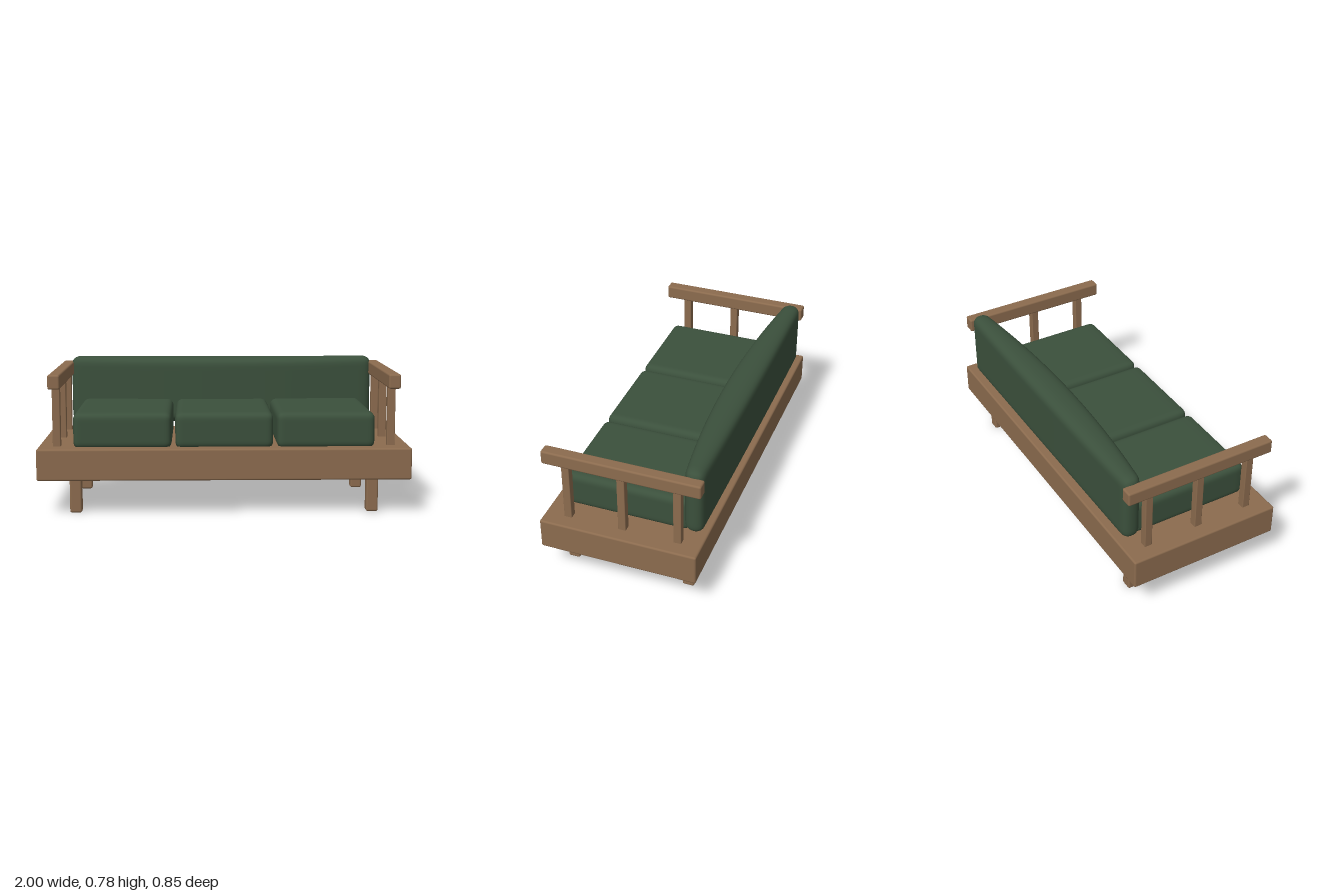
import * as THREE from 'three';
import { mergeVertices } from 'three/addons/utils/BufferGeometryUtils.js';
import { RoundedBoxGeometry } from 'three/addons/geometries/RoundedBoxGeometry.js';

const wood = new THREE.MeshStandardMaterial({ name: 'wood', color: 0x8b6b4e });
const fabric = new THREE.MeshStandardMaterial({ name: 'greenFabric', color: 0x3b503c });

// Rounded wooden block given by its limits on each axis
function block(name, [x0, x1], [y0, y1], [z0, z1], r = 0.01) {
  const mesh = new THREE.Mesh(new RoundedBoxGeometry(x1 - x0, y1 - y0, z1 - z0, 3, r), wood);
  mesh.position.set((x0 + x1) / 2, (y0 + y1) / 2, (z0 + z1) / 2);
  mesh.name = name;
  return mesh;
}

// Soft cushion: dense box, grid packed toward the edges, corners rounded, then optionally bent
function cushion(name, [x0, x1], [y0, y1], [z0, z1], r, bend) {
  const half = new THREE.Vector3(x1 - x0, y1 - y0, z1 - z0).multiplyScalar(0.5);
  const inner = half.clone().subScalar(r);
  let geo = new THREE.BoxGeometry(2, 2, 2, 32, 20, 16);
  geo.deleteAttribute('uv');
  geo.deleteAttribute('normal');
  geo = mergeVertices(geo);
  const pos = geo.attributes.position;
  const p = new THREE.Vector3(), core = new THREE.Vector3();
  for (let i = 0; i < pos.count; i++) {
    p.fromBufferAttribute(pos, i);
    for (const a of ['x', 'y', 'z']) p[a] = Math.sin(p[a] * Math.PI / 2) * half[a];
    core.copy(p).clamp(inner.clone().negate(), inner);
    p.sub(core);
    if (p.lengthSq() > 0) p.setLength(r);
    p.add(core);
    if (bend) bend(p, half);
    pos.setXYZ(i, p.x, p.y, p.z);
  }
  geo.computeVertexNormals();
  const mesh = new THREE.Mesh(geo, fabric);
  mesh.position.set((x0 + x1) / 2, (y0 + y1) / 2, (z0 + z1) / 2);
  mesh.name = name;
  return mesh;
}

export function createModel() {
  const sofa = new THREE.Group();
  sofa.name = 'sofa';

  // Platform base
  sofa.add(block('base', [-1, 1], [0.187, 0.357], [-0.425, 0.425]));

  // Legs, posts and arm rails, mirrored left and right
  for (const [side, s] of [['left', 1], ['right', -1]]) {
    const span = (a, b) => (s > 0 ? [a, b] : [-b, -a]);
    for (const z of [0.325, -0.325]) {
      sofa.add(block(side + (z > 0 ? 'FrontLeg' : 'BackLeg'), span(0.768, 0.832), [0, 0.2], [z - 0.032, z + 0.032]));
    }
    for (const z of [0.299, 0, -0.299]) {
      sofa.add(block(side + 'ArmPost', span(0.88, 0.922), [0.35, 0.685], [z - 0.021, z + 0.021], 0.004));
    }
    sofa.add(block(side + 'ArmRail', span(0.868, 0.932), [0.675, 0.752], [-0.425, 0.425]));
  }

  // Three seat cushions
  for (const x of [-0.547, 0, 0.547]) {
    sofa.add(cushion('seatCushion', [x - 0.264, x + 0.264], [0.345, 0.54], [-0.322, 0.357], 0.036));
  }

  // Back cushion, its front swelling toward the middle
  sofa.add(cushion('backCushion', [-0.88, 0.88], [0.4, 0.782], [-0.416, -0.318], 0.045, (p, half) => {
    const t = (p.z + half.z) / (2 * half.z);
    const swell = 1 - (p.x / half.x) ** 2;
    p.z += swell * (0.068 * t - 0.004 * (1 - t));
  }));

  return sofa;
}
